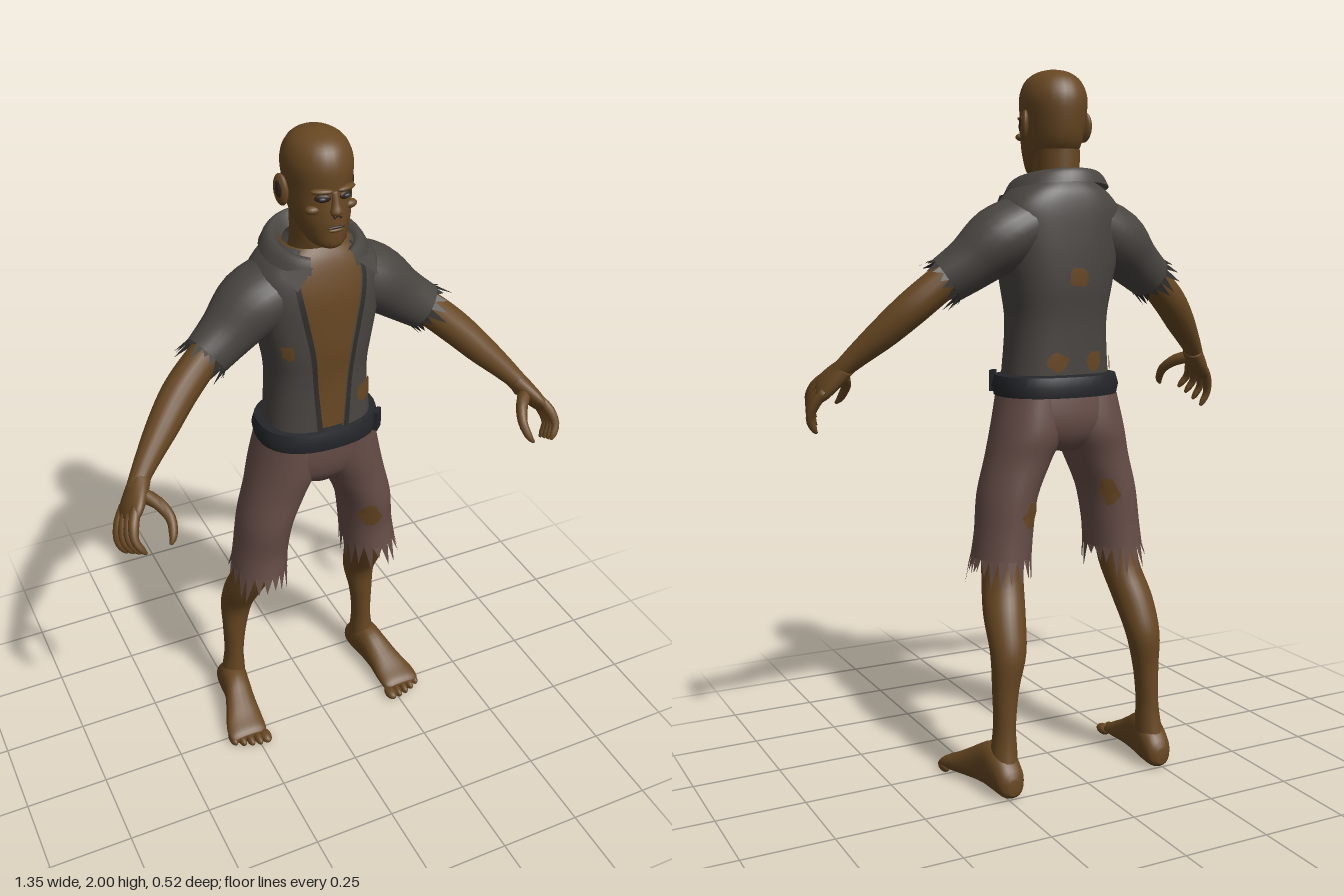
import * as THREE from 'three';
import { toCreasedNormals } from 'three/addons/utils/BufferGeometryUtils.js';

const V3 = (x, y, z) => new THREE.Vector3(x, y, z);
const HALF = Math.PI / 2;
const mat = (name, color, side = THREE.FrontSide) => new THREE.MeshStandardMaterial({ name, color, side });

let seed = 7;
const rnd = () => (seed = (seed * 16807) % 2147483647) / 2147483647;

// Smooth surface through elliptical sections [x, y, z, radiusU, radiusV, frontGap].
// Sections are horizontal by default, or square to the path when ref is given.
function surface(rows, { s = 1, ref, u = V3(1, 0, 0), v = V3(0, 0, 1), p = 1, tilt = 0 } = {}) {
  const R = rows.map(r => [r[0] * s, ...r.slice(1)]), n = R.length;
  const row = t => {
    const i = Math.min(Math.max(Math.floor(t), 0), n - 2), f = t - i;
    const [A, B, C, D] = [R[Math.max(i - 1, 0)], R[i], R[i + 1], R[Math.min(i + 2, n - 1)]];
    return B.map((b, k) => b + 0.5 * f * (C[k] - A[k] + f * (2 * A[k] - 5 * b + 4 * C[k] - D[k]
      + f * (3 * (b - C[k]) + D[k] - A[k]))));
  };
  const centre = t => V3(...row(t).slice(0, 3));
  const tangent = t => centre(Math.min(t + 0.01, n - 1)).sub(centre(Math.max(t - 0.01, 0))).normalize();
  const pow = c => Math.sign(c) * Math.abs(c) ** p;
  const at = (t, a, off = 0) => {
    const q = row(t);
    let U = u, W = v;
    if (ref) {
      const T = tangent(t);
      U = T.clone().cross(V3(ref[0] * s, ref[1], ref[2])).normalize();
      W = U.clone().cross(T);
    }
    const P = V3(q[0], q[1] - tilt * Math.sin(a), q[2]);
    return P.addScaledVector(U, (Math.max(q[3], 0.001) + off) * pow(Math.cos(a)))
      .addScaledVector(W, (Math.max(q[4], 0.001) + off) * pow(Math.sin(a)));
  };
  const tAt = y => {
    let lo = 0, hi = n - 1;
    for (let k = 0; k < 24; k++) { const m = (lo + hi) / 2; if (row(m)[1] < y) lo = m; else hi = m; }
    return lo;
  };
  return { n, row, centre, tangent, at, tAt };
}

function build(points, index) {
  const g = new THREE.BufferGeometry();
  g.setAttribute('position', new THREE.Float32BufferAttribute(points.flatMap(p => [p.x, p.y, p.z]), 3));
  if (index) g.setIndex(index);
  g.computeVertexNormals();
  return g;
}

// Skin a surface; arc limits it to part of the way round
function loft(S, { seg = 28, sub = 4, caps = false, arc, off = 0 } = {}) {
  const pts = [], idx = [], N = (S.n - 1) * sub;
  const open = arc || S.row(0)[5] !== undefined, w = open ? seg + 1 : seg;
  for (let i = 0; i <= N; i++) {
    const gap = S.row(i / sub)[5] || 0;
    const [a0, a1] = arc ? arc(gap) : [HALF + gap, HALF + 2 * Math.PI - gap];
    for (let j = 0; j < w; j++) pts.push(S.at(i / sub, a0 + (a1 - a0) * j / seg, off));
  }
  for (let i = 0; i < N; i++) for (let j = 0; j < seg; j++) {
    const a = i * w + j, b = i * w + (j + 1) % w;
    idx.push(a, a + w, b, a + w, b + w, b);
  }
  if (caps) {
    const c = pts.push(S.centre(0), S.centre(S.n - 1)) - 2;
    for (let j = 0; j < seg; j++) {
      const k = (j + 1) % seg;
      idx.push(j, k, c, N * w + k, N * w + j, c + 1);
    }
  }
  return build(pts, idx);
}

// Torn teeth along the end of a surface
function fringe(S, t, dir, n, len, a0 = 0, span = 2 * Math.PI) {
  const pts = [];
  for (let k = 0; k < n; k++) {
    const a = a0 + span * k / n, b = a0 + span * (k + 1) / n;
    const tip = S.at(t, a + (b - a) * (0.2 + 0.6 * rnd()), 0.008)
      .addScaledVector(S.tangent(t), dir * len * (0.25 + 0.75 * rnd()));
    const A = S.at(t, a), B = S.at(t, b);
    pts.push(...(dir < 0 ? [A, B, tip] : [B, A, tip]));
  }
  return build(pts);
}

// Ragged hole showing what lies beneath, laid just over a surface
function patch(S, y, a, ry, ra) {
  const n = 11, pts = [S.at(S.tAt(y), a, 0.006)], idx = [];
  for (let k = 0; k < n; k++) {
    const f = 2 * Math.PI * k / n, r = 0.6 + 0.4 * rnd();
    pts.push(S.at(S.tAt(y + ry * r * Math.sin(f)), a + ra * r * Math.cos(f), 0.005));
    idx.push(0, 1 + (k + 1) % n, 1 + k);
  }
  return build(pts, idx);
}

export function createModel() {
  const model = new THREE.Group();
  const skin = mat('skin', 0x674722), shadow = mat('socketBrown', 0x33231a), eye = mat('eyeGrey', 0x3d4656);
  const shirt = mat('shirtGrey', 0x494541, THREE.DoubleSide), torn = mat('tornGrey', 0x302e2c, THREE.DoubleSide);
  const pants = mat('trouserBrown', 0x664d47, THREE.DoubleSide), leather = mat('beltBlack', 0x25262a);
  const add = (name, geo, m) => {
    const mesh = new THREE.Mesh(geo, m);
    mesh.name = name;
    model.add(mesh);
    return mesh;
  };
  const ball = (name, m, x, y, z, a, b, c) => {
    const e = add(name, new THREE.SphereGeometry(1, 16, 12), m);
    e.position.set(x, y, z);
    e.scale.set(a, b, c);
    return e;
  };

  // Head and neck
  add('head', loft(surface([[0, 1.708, 0.03, 0.02, 0.03], [0, 1.722, 0.016, 0.046, 0.064], [0, 1.76, -0.008, 0.066, 0.092],
    [0, 1.8, -0.024, 0.078, 0.108], [0, 1.86, -0.034, 0.085, 0.112], [0, 1.92, -0.035, 0.09, 0.113],
    [0, 1.965, -0.033, 0.075, 0.093], [0, 1.99, -0.033, 0.045, 0.056], [0, 2, -0.033, 0.004, 0.004]]), { caps: true }), skin);
  add('neck', loft(surface([[0, 1.6, -0.06, 0.085, 0.07], [0, 1.66, -0.06, 0.068, 0.07], [0, 1.71, -0.055, 0.062, 0.076],
    [0, 1.78, -0.05, 0.064, 0.082]])), skin);
  add('nose', loft(surface([[0, 1.806, 0.08, 0.011, 0.01], [0, 1.818, 0.084, 0.017, 0.016], [0, 1.84, 0.079, 0.011, 0.012],
    [0, 1.87, 0.073, 0.009, 0.007]]), { seg: 12, caps: true }), skin);
  ball('mouth', shadow, 0, 1.776, 0.083, 0.025, 0.004, 0.005);
  ball('lowerLip', skin, 0, 1.768, 0.081, 0.022, 0.006, 0.008);
  for (const s of [-1, 1]) {
    ball('eyeSocket', shadow, s * 0.032, 1.854, 0.07, 0.021, 0.011, 0.006).rotation.y = s * 0.35;
    ball('eye', eye, s * 0.032, 1.853, 0.073, 0.011, 0.005, 0.006);
    ball('brow', skin, s * 0.034, 1.872, 0.069, 0.03, 0.008, 0.012).rotation.y = s * 0.35;
    ball('cheekbone', skin, s * 0.05, 1.82, 0.052, 0.022, 0.012, 0.016);
    ball('nostril', shadow, s * 0.008, 1.808, 0.092, 0.004, 0.005, 0.004);
    ball('ear', skin, s * 0.095, 1.845, -0.045, 0.012, 0.042, 0.026).rotation.set(-0.2, s * -0.35, 0);
    ball('earHollow', shadow, s * 0.104, 1.85, -0.04, 0.004, 0.022, 0.012).rotation.set(-0.2, s * -0.35, 0);
  }

  // Torso and open shirt
  const shirtRows = [[0, 1.14, -0.045, 0.155, 0.115, 0.12], [0, 1.3, -0.05, 0.143, 0.118, 0.22], [0, 1.4, -0.053, 0.156, 0.128, 0.25],
    [0, 1.48, -0.055, 0.172, 0.13, 0.3], [0, 1.56, -0.056, 0.183, 0.128, 0.36], [0, 1.62, -0.06, 0.178, 0.12, 0.42],
    [0, 1.665, -0.062, 0.14, 0.108, 0.5], [0, 1.695, -0.06, 0.095, 0.09, 0.7]];
  const shirtS = surface(shirtRows, { p: 0.8 });
  add('torso', loft(surface(shirtRows.map(([x, y, z, a, b]) => [x, y, z, a - 0.008, b - 0.008]), { p: 0.8 })), skin);
  add('shirt', loft(shirtS, { seg: 40 }), shirt);
  for (const s of [-1, 1]) {
    const arc = g => (s < 0 ? [HALF + g, HALF + g + 0.09] : [HALF - g - 0.09, HALF - g]);
    add('shirtEdge', loft(shirtS, { seg: 3, arc, off: 0.005 }), torn);
  }
  const collar = surface([[0, 1.668, -0.055, 0.148, 0.142, 0.45], [0, 1.695, -0.055, 0.132, 0.132, 0.48],
    [0, 1.705, -0.055, 0.11, 0.115, 0.52], [0, 1.672, -0.055, 0.085, 0.09, 0.6]], { tilt: 0.022 });
  add('collar', loft(collar, { seg: 32, sub: 3 }), shirt);
  for (const s of [-1, 1]) {
    const a = [[s * 0.06, 1.672, 0.075], [s * 0.135, 1.655, 0.03], [s * 0.115, 1.625, 0.098]].map(p => V3(...p));
    add('collarPoint', build(s > 0 ? [a[0], a[2], a[1]] : a), shirt);
  }
  for (const [y, a, ry, ra] of [[1.42, 2.35, 0.03, 0.2], [1.25, 0.8, 0.038, 0.38], [1.43, -HALF, 0.032, 0.14],
    [1.2, -HALF + 0.3, 0.035, 0.25], [1.2, -HALF - 0.35, 0.035, 0.22], [1.19, -2.65, 0.03, 0.2]])
    add('shirtHole', patch(shirtS, y, a, ry, ra), skin);

  // Belt with a loose end
  add('belt', toCreasedNormals(loft(surface([[0, 1.097, -0.05, 0.16, 0.11], [0, 1.1, -0.05, 0.178, 0.134],
    [0, 1.128, -0.05, 0.184, 0.139], [0, 1.157, -0.05, 0.176, 0.131], [0, 1.162, -0.05, 0.15, 0.11]], { p: 0.85 }),
  { seg: 36, sub: 1 }), 0.7), leather);
  const end = add('beltEnd', new THREE.BoxGeometry(0.035, 0.06, 0.012), leather);
  end.position.set(0.152, 1.135, 0.045);
  end.rotation.y = 0.8;

  // Trousers: seat, then each leg below
  add('trouserSeat', loft(surface([[0, 0.945, -0.06, 0.05, 0.075], [0, 0.985, -0.06, 0.15, 0.105], [0, 1.04, -0.06, 0.185, 0.12],
    [0, 1.12, -0.055, 0.172, 0.118]], { p: 0.85 }), { caps: true }), pants);

  for (const s of [-1, 1]) {
    const leg = surface([[0.182, 0.65, -0.065, 0.082, 0.104], [0.174, 0.72, -0.066, 0.08, 0.1], [0.16, 0.82, -0.06, 0.082, 0.107],
      [0.126, 0.92, -0.06, 0.092, 0.11], [0.1, 1.0, -0.062, 0.1, 0.12], [0.092, 1.1, -0.055, 0.085, 0.115]], { s });
    add('trouserLeg', loft(leg), pants);
    add('tornHem', fringe(leg, 0, -1, 20, 0.095), pants);
    if (s > 0) add('trouserHole', patch(leg, 0.79, HALF + 0.3, 0.05, 0.5), skin);
    add('trouserHole', patch(leg, s > 0 ? 0.77 : 0.82, -HALF + (s > 0 ? -0.4 : 0.5), 0.05, 0.4), skin);

    // Bare shin and foot
    add('leg', loft(surface([[0.242, 0.05, -0.195, 0.042, 0.055], [0.236, 0.13, -0.19, 0.035, 0.044], [0.233, 0.2, -0.188, 0.03, 0.04],
      [0.228, 0.3, -0.186, 0.037, 0.042], [0.218, 0.4, -0.183, 0.05, 0.052], [0.208, 0.5, -0.138, 0.058, 0.066],
      [0.19, 0.6, -0.09, 0.057, 0.07], [0.18, 0.72, -0.07, 0.06, 0.075]], { s })), skin);
    add('foot', loft(surface([[0.24, 0.04, -0.264, 0.015, 0.022], [0.24, 0.05, -0.245, 0.038, 0.045], [0.243, 0.07, -0.19, 0.046, 0.065],
      [0.25, 0.07, -0.13, 0.044, 0.064], [0.262, 0.054, -0.07, 0.051, 0.047], [0.274, 0.037, -0.01, 0.062, 0.03],
      [0.278, 0.028, 0.03, 0.062, 0.02], [0.278, 0.022, 0.045, 0.05, 0.012]], { s, v: V3(0, -1, 0), p: 0.85 }), { seg: 20, caps: true }), skin);
    for (let i = 0; i < 5; i++)
      ball('toe', skin, s * (0.228 + 0.025 * i), 0.018, 0.054 - 0.002 * i * i, i ? 0.013 : 0.018, 0.016, 0.03);

    // Sleeve with torn cuff
    const sleeve = surface([[0.09, 1.58, -0.062, 0.085, 0.105], [0.18, 1.533, -0.06, 0.093, 0.105], [0.26, 1.47, -0.045, 0.076, 0.078],
      [0.325, 1.425, -0.028, 0.067, 0.062]], { s, ref: [0, 0, 1] });
    add('sleeve', loft(sleeve, { seg: 24 }), shirt);
    add('tornCuff', fringe(sleeve, 3, 1, 18, 0.06), torn);

    // Arm down to the palm
    add('arm', loft(surface([[0.25, 1.48, -0.045, 0.05, 0.05], [0.34, 1.415, -0.025, 0.049, 0.047], [0.415, 1.35, 0, 0.049, 0.049],
      [0.48, 1.285, 0.037, 0.044, 0.044], [0.54, 1.225, 0.077, 0.034, 0.034], [0.575, 1.187, 0.103, 0.028, 0.029],
      [0.59, 1.165, 0.12, 0.03, 0.03]], { s, ref: [0, 0, 1] }), { seg: 18 }), skin);
    const ref = [-1, -0.5, 0];
    add('palm', loft(surface([[0.57, 1.19, 0.1, 0.028, 0.027], [0.595, 1.16, 0.126, 0.046, 0.027], [0.618, 1.132, 0.15, 0.056, 0.023],
      [0.633, 1.112, 0.167, 0.05, 0.014]], { s, ref }), { seg: 18, caps: true }), skin);
    for (const k of [-0.045, -0.015, 0.014, 0.04]) {
      const joint = (f, x, y, z, r) => [0.628 - 0.24 * k * f + x, 1.12 + 0.48 * k * f + y, 0.16 + 0.82 * k * f + z, r, r];
      add('finger', loft(surface([joint(0.85, -0.01, 0.02, -0.015, 0.013), joint(1, 0.012, -0.012, 0.012, 0.015),
        joint(1.15, 0.022, -0.05, 0.032, 0.012), joint(1.25, 0.01, -0.078, 0.042, 0.01), joint(1.3, 0.0, -0.092, 0.045, 0.004)],
      { s, ref }), { seg: 10, sub: 3, caps: true }), skin);
    }
    add('thumb', loft(surface([[0.592, 1.165, 0.135, 0.02, 0.02], [0.555, 1.15, 0.175, 0.018, 0.018], [0.534, 1.12, 0.215, 0.014, 0.014],
      [0.54, 1.085, 0.245, 0.011, 0.011], [0.552, 1.068, 0.257, 0.004, 0.004]], { s, ref }), { seg: 10, sub: 3, caps: true }), skin);
  }
  return model;
}
